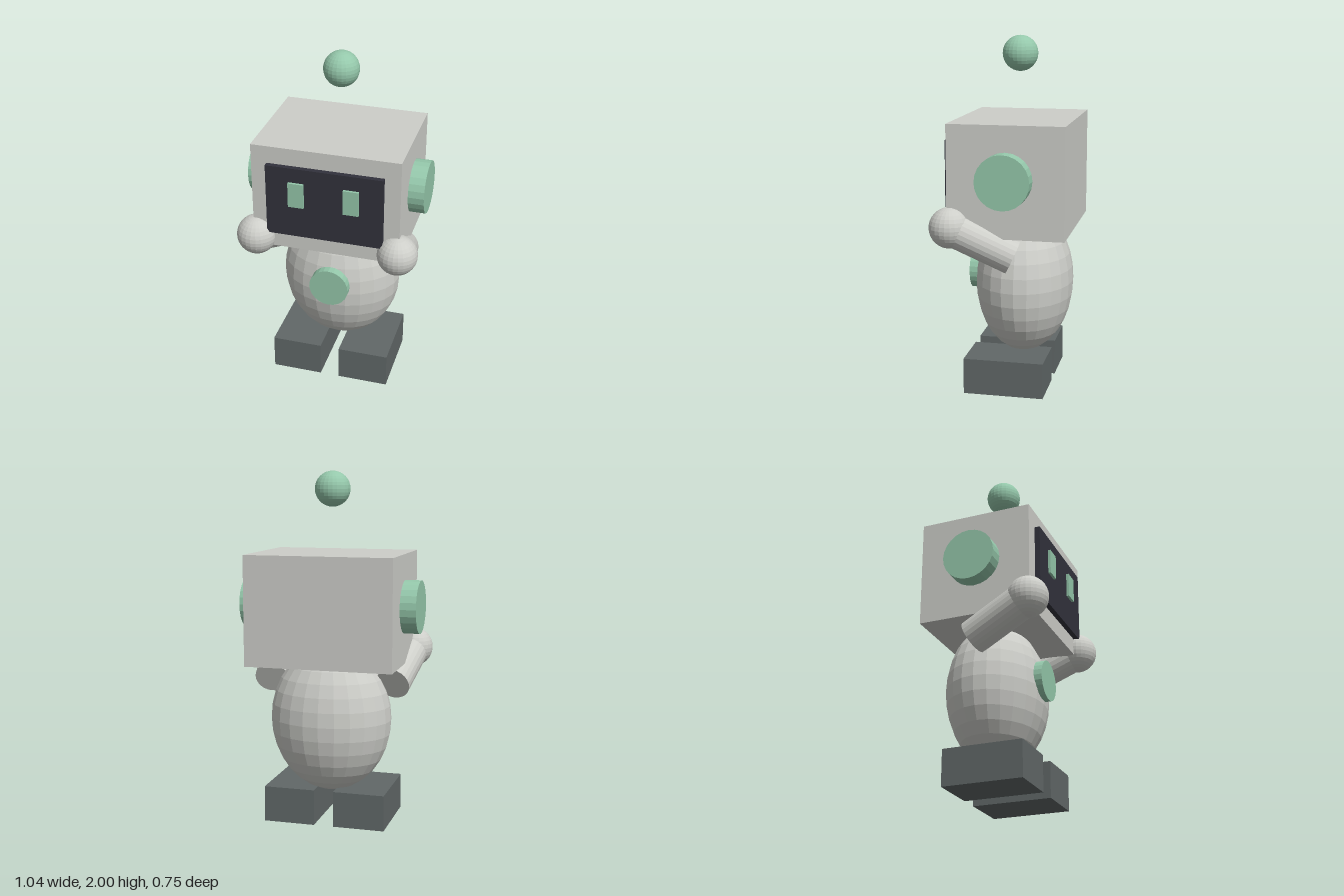
import * as THREE from 'three';

export function createModel() {
  const model = new THREE.Group();
  model.name = 'robot';

  const material = (name, color, flat = true) => {
    const m = new THREE.MeshStandardMaterial({ color, flatShading: flat });
    m.name = name;
    return m;
  };
  const shell = material('shellGrey', 0xcdcec9);
  const green = material('mintGreen', 0x95c8ab);
  const dark = material('screenDark', 0x32323c);
  const slate = material('footSlate', 0x616868);

  const add = (name, geometry, mat, x, y, z) => {
    const mesh = new THREE.Mesh(geometry, mat);
    mesh.name = name;
    mesh.position.set(x, y, z);
    model.add(mesh);
    return mesh;
  };
  const box = (w, h, d) => new THREE.BoxGeometry(w, h, d);
  const ball = (r) => new THREE.SphereGeometry(r, 24, 16);
  const disc = (r, h) => new THREE.CylinderGeometry(r, r, h, 24);

  // Head, face screen and floating antenna ball
  add('head', box(0.84, 0.62, 0.65), shell, 0, 1.235, -0.05);
  add('screen', box(0.66, 0.42, 0.05), dark, 0, 1.235, 0.28);
  add('antennaBall', ball(0.1), green, 0, 1.9, -0.05);

  // Egg-shaped body with a round chest button
  add('body', ball(1), shell, 0, 0.598, -0.08).scale.set(0.35, 0.422, 0.28);
  add('chestButton', disc(0.115, 0.085), green, 0, 0.65, 0.183).rotation.x = Math.PI / 2;

  // Paired parts, left (+x) then right
  for (const [side, s] of [['left', 1], ['right', -1]]) {
    add(side + 'Eye', box(0.088, 0.145, 0.03), green, s * 0.155, 1.288, 0.305);
    add(side + 'Ear', disc(0.15, 0.12), green, s * 0.45, 1.25, -0.05).rotation.z = Math.PI / 2;
    add(side + 'Foot', box(0.295, 0.205, 0.455), slate, s * 0.204, 0.1025, -0.022);

    // Arm runs from the elbow end up and forward to the hand
    const elbow = new THREE.Vector3(s * 0.36, 0.814, -0.08);
    const hand = new THREE.Vector3(s * 0.408, 0.975, 0.262);
    const along = hand.clone().sub(elbow);
    const mid = elbow.clone().add(hand).multiplyScalar(0.5);
    const arm = add(side + 'Arm', disc(0.097, along.length()), shell, mid.x, mid.y, mid.z);
    arm.quaternion.setFromUnitVectors(new THREE.Vector3(0, 1, 0), along.normalize());
    add(side + 'Hand', ball(0.114), shell, hand.x, hand.y, hand.z);
  }

  return model;
}
